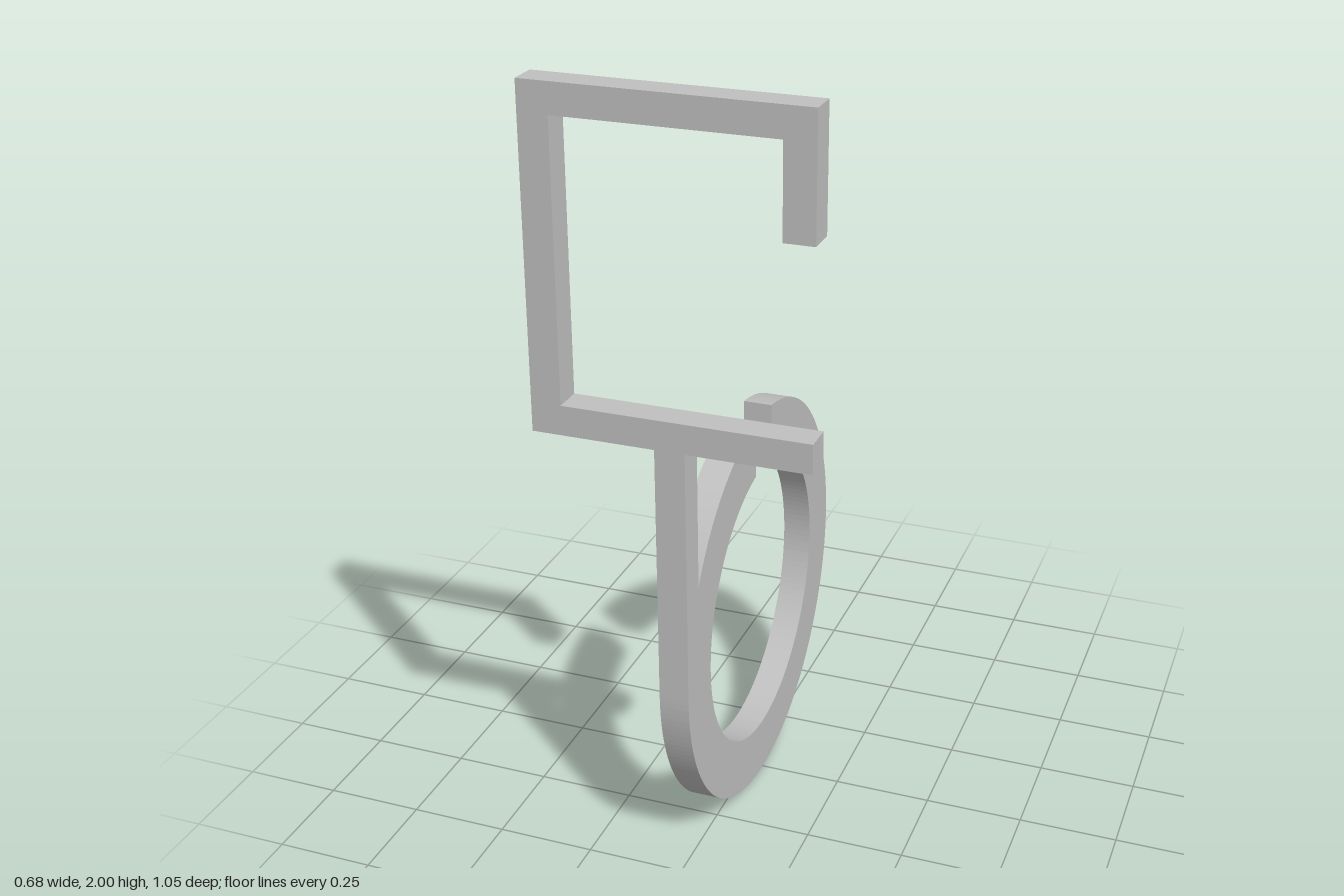
import * as THREE from 'three';

const R = 0.527, INNER = 0.38, CY = 0.527; // ring radii and centre height
const T = 0.074;                           // bar thickness
const GAP = 0.057;                         // half width of the ring's slot
const HOOK_BASE = 1.175;

export function createModel() {
  const group = new THREE.Group();
  const greyMetal = new THREE.MeshStandardMaterial({ color: 0xc0c0c0 });
  greyMetal.name = 'greyMetal';

  const addPart = (name, geometry) => {
    const mesh = new THREE.Mesh(geometry, greyMetal);
    mesh.name = name;
    group.add(mesh);
  };
  const extrude = (shape) =>
    new THREE.ExtrudeGeometry(shape, { depth: T, bevelEnabled: false, curveSegments: 72 });

  // Slotted ring with the stem rising tangentially from its front, drawn in (z, y)
  const aOut = Math.acos(GAP / R), aIn = Math.acos(GAP / INNER);
  const aStem = Math.acos((R - T) / R);
  const ring = new THREE.Shape();
  ring.absarc(0, CY, R, Math.PI - aOut, Math.PI * 2, false);
  ring.lineTo(R, HOOK_BASE);
  ring.lineTo(R - T, HOOK_BASE);
  ring.absarc(0, CY, R, aStem, aOut, false);
  ring.absarc(0, CY, INNER, aIn, Math.PI - aIn, true);
  ring.closePath();
  addPart('ringAndStem', extrude(ring).translate(0, 0, -T / 2).rotateY(-Math.PI / 2));

  // Square open hook, drawn in (x, y)
  const W = 0.339, TOP = 2, LIP = 1.703;
  const hook = new THREE.Shape([
    [-W, HOOK_BASE], [W, HOOK_BASE], [W, HOOK_BASE + T], [-W + T, HOOK_BASE + T],
    [-W + T, TOP - T], [W - T, TOP - T], [W - T, LIP], [W, LIP], [W, TOP], [-W, TOP],
  ].map(([x, y]) => new THREE.Vector2(x, y)));
  addPart('squareHook', extrude(hook).translate(0, 0, R - T));

  return group;
}
